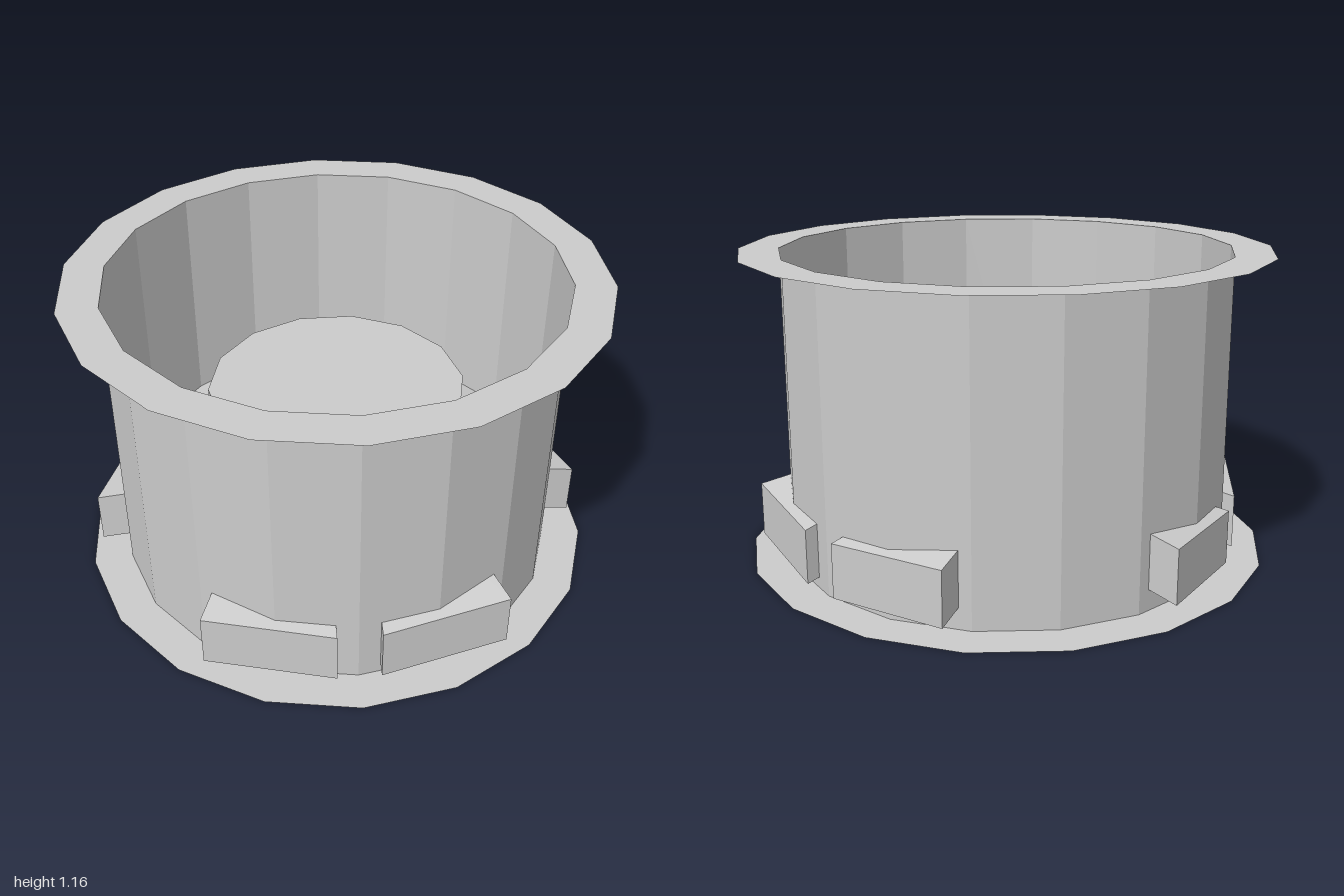
import * as THREE from 'three';

const HEIGHT = 1.16, WALL_R = 0.85, FLANGE_R = 1, SIDES = 18;
const SPOKE_DEPTH = 0.205, SPOKE_SLOPE = 0.235;

const solid = new THREE.MeshStandardMaterial({ color: 0xcccccc, flatShading: true });
const thin = new THREE.MeshStandardMaterial({ color: 0xcccccc, flatShading: true, side: THREE.DoubleSide });

function addMesh(parent, name, geometry, material) {
  const mesh = new THREE.Mesh(geometry, material);
  mesh.name = name;
  parent.add(mesh);
  return mesh;
}

// Wedge-shaped slab, straight along the slot and flared outside, rising toward the hub
function spokeGeometry(side) {
  const outline = [[0.08, 0.2], [0.31, 0.2], [0.55, 0.78], [0.08, 0.885]];
  const shape = new THREE.Shape(outline.map(([x, z]) => new THREE.Vector2(x * side, z)));
  const geometry = new THREE.ExtrudeGeometry(shape, { depth: SPOKE_DEPTH, bevelEnabled: false });
  geometry.rotateX(Math.PI / 2);
  const pos = geometry.attributes.position;
  for (let i = 0; i < pos.count; i++) {
    const rise = 0.03 + SPOKE_SLOPE * (0.885 - pos.getZ(i));
    pos.setY(i, pos.getY(i) + SPOKE_DEPTH + rise);
  }
  geometry.computeVertexNormals();
  return geometry;
}

export function createModel() {
  const wheel = new THREE.Group();
  wheel.name = 'wheelRim';

  // Open barrel
  const barrel = new THREE.CylinderGeometry(WALL_R, WALL_R, HEIGHT, SIDES, 1, true);
  addMesh(wheel, 'barrel', barrel, thin).position.y = HEIGHT / 2;

  // Flat flanges at both ends
  for (const [name, y] of [['lowerFlange', 0], ['upperFlange', HEIGHT]]) {
    const ring = new THREE.RingGeometry(WALL_R, FLANGE_R, SIDES, 1, Math.PI / 2);
    ring.rotateX(-Math.PI / 2);
    addMesh(wheel, name, ring, thin).position.y = y;
  }

  // Central hub
  const hubBottom = 0.13, hubTop = 0.69;
  const hub = new THREE.CylinderGeometry(0.49, 0.49, hubTop - hubBottom, 14, 1, false, Math.PI / 2);
  addMesh(wheel, 'hub', hub, solid).position.y = (hubTop + hubBottom) / 2;

  // Three mirrored pairs of spokes
  for (let i = 0; i < 3; i++) {
    const pair = new THREE.Group();
    pair.name = 'spokePair' + (i + 1);
    pair.rotation.y = (i * Math.PI * 2) / 3;
    addMesh(pair, 'leftSpoke', spokeGeometry(1), solid);
    addMesh(pair, 'rightSpoke', spokeGeometry(-1), solid);
    wheel.add(pair);
  }
  return wheel;
}
